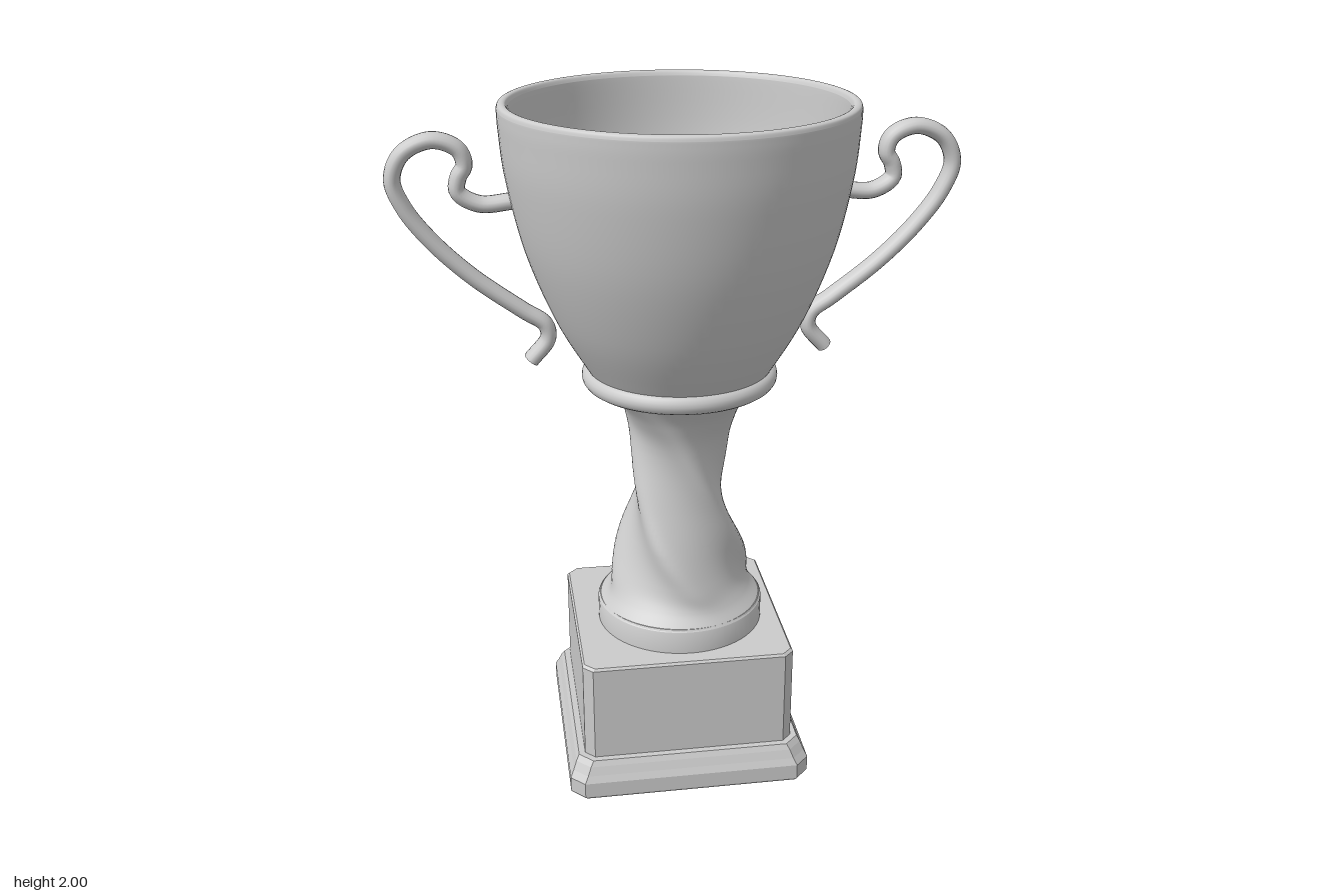
import * as THREE from 'three';
import { mergeVertices, toCreasedNormals } from 'three/addons/utils/BufferGeometryUtils.js';

const material = new THREE.MeshStandardMaterial({ color: 0xcccccc, side: THREE.DoubleSide });

function addMesh(parent, name, geometry) {
  const mesh = new THREE.Mesh(geometry, material);
  mesh.name = name;
  parent.add(mesh);
  return mesh;
}

// Square block with chamfered corners, stacked from [half width, height] levels
function chamferedBlock(levels, chamfer) {
  const pos = [];
  const ring = ([h, y]) => {
    const c = h - chamfer;
    return [[h, c], [h, -c], [c, -h], [-c, -h], [-h, -c], [-h, c], [-c, h], [c, h]]
      .map(([x, z]) => [x, y, z]);
  };
  const rings = levels.map(ring);
  const last = rings.length - 1;
  for (let i = 0; i < 8; i++) {
    const j = (i + 1) % 8;
    for (let k = 0; k < last; k++) {
      const [a, b, c, d] = [rings[k][i], rings[k][j], rings[k + 1][j], rings[k + 1][i]];
      pos.push(...a, ...b, ...c, ...a, ...c, ...d);
    }
    pos.push(0, levels[0][1], 0, ...rings[0][j], ...rings[0][i]);
    pos.push(0, levels[last][1], 0, ...rings[last][i], ...rings[last][j]);
  }
  const geometry = new THREE.BufferGeometry();
  geometry.setAttribute('position', new THREE.Float32BufferAttribute(pos, 3));
  geometry.computeVertexNormals();
  return geometry;
}

// Twisted stem: rounded-square section that turns with height and fades to round at the ends
function twistedStem() {
  // x = ridge radius, y = height, z = squareness
  const profile = new THREE.CatmullRomCurve3([
    [0.25, 0.49, 0], [0.222, 0.53, 0.25], [0.208, 0.6, 0.75], [0.19, 0.7, 1], [0.163, 0.81, 1],
    [0.151, 0.9, 1], [0.146, 1.0, 0.85], [0.167, 1.1, 0.45], [0.21, 1.18, 0.08], [0.235, 1.22, 0],
  ].map(p => new THREE.Vector3(...p)), false, 'centripetal');
  const sides = 96, rows = 72, n = 6;
  const geometry = new THREE.CylinderGeometry(1, 1, 1, sides, rows, true);
  const pos = geometry.attributes.position;
  for (let i = 0; i < pos.count; i++) {
    const p = profile.getPoint(THREE.MathUtils.clamp(pos.getY(i) + 0.5, 0, 1));
    const angle = Math.atan2(pos.getX(i), pos.getZ(i));
    const local = angle - (1.0 - p.y) * Math.PI / 0.8 + Math.PI / 4;
    const square = (Math.abs(Math.cos(local)) ** n + Math.abs(Math.sin(local)) ** n) ** (-1 / n);
    const r = p.x * (1 - p.z * (1 - square / 2 ** (0.5 - 1 / n)));
    pos.setXYZ(i, r * Math.sin(angle), p.y, r * Math.cos(angle));
  }
  geometry.deleteAttribute('uv');
  geometry.deleteAttribute('normal');
  const smooth = mergeVertices(geometry, 1e-5);
  smooth.computeVertexNormals();
  return smooth;
}

// Bowl: outer wall, rounded rim, inner wall and floor in one lathe
function bowl() {
  const spline = (points) => new THREE.SplineCurve(points.map(p => new THREE.Vector2(...p))).getPoints(32);
  const outer = spline([[0.235, 1.2], [0.27, 1.25], [0.355, 1.4], [0.432, 1.6], [0.476, 1.8], [0.489, 1.93], [0.491, 1.98]]);
  const rim = spline([[0.491, 1.985], [0.487, 1.996], [0.477, 2.0], [0.467, 1.997], [0.461, 1.985]]);
  const inner = spline([[0.46, 1.97], [0.447, 1.8], [0.402, 1.6], [0.325, 1.4], [0.265, 1.31], [0.2, 1.275], [0.1, 1.27], [0, 1.27]]);
  return new THREE.LatheGeometry([...outer, ...rim, ...inner], 96);
}

// Handle: scrolled tube with an oval section and a flat end at the tail
function handle() {
  const group = new THREE.Group();
  const path = new THREE.CatmullRomCurve3([
    [0.455, 1.738], [0.548, 1.733], [0.604, 1.768], [0.6, 1.807], [0.582, 1.84], [0.597, 1.883],
    [0.664, 1.909], [0.743, 1.876], [0.775, 1.807], [0.749, 1.728], [0.68, 1.632], [0.574, 1.527],
    [0.442, 1.426], [0.382, 1.382], [0.376, 1.341], [0.426, 1.278],
  ].map(([x, y]) => new THREE.Vector3(x, y, 0)), false, 'centripetal');
  const radius = 0.023, widen = 1.45;
  addMesh(group, 'handleScroll', new THREE.TubeGeometry(path, 120, radius, 16).scale(1, 1, widen));
  const cap = new THREE.CircleGeometry(radius, 16);
  const turn = new THREE.Quaternion().setFromUnitVectors(new THREE.Vector3(0, 0, 1), path.getTangent(1));
  const end = path.getPoint(1);
  cap.applyQuaternion(turn).translate(end.x, end.y, end.z).scale(1, 1, widen);
  addMesh(group, 'handleTailEnd', cap);
  return group;
}

export function createModel() {
  const model = new THREE.Group();
  model.name = 'trophyCup';

  // Square base
  const base = new THREE.Group();
  base.name = 'base';
  base.position.set(-0.013, 0, -0.013);
  model.add(base);
  addMesh(base, 'plinth', chamferedBlock(
    [[0.357, 0], [0.362, 0.008], [0.362, 0.055], [0.352, 0.075], [0.342, 0.1], [0.333, 0.116]], 0.04));
  addMesh(base, 'baseBlock', chamferedBlock([[0.314, 0.1], [0.314, 0.413], [0.308, 0.42]], 0.028));

  // Round foot and twisted stem
  const foot = new THREE.LatheGeometry(
    [[0, 0.41], [0.251, 0.41], [0.251, 0.487], [0.245, 0.497], [0.2, 0.5]].map(p => new THREE.Vector2(...p)), 64);
  addMesh(model, 'stemFoot', toCreasedNormals(foot, 0.8));
  addMesh(model, 'twistedStem', twistedStem());

  // Collar ring and bowl
  addMesh(model, 'collar', new THREE.TorusGeometry(0.254, 0.029, 16, 96).rotateX(Math.PI / 2).translate(0, 1.217, 0));
  addMesh(model, 'collarUnderside', new THREE.CylinderGeometry(0.25, 0.25, 0.03, 64).translate(0, 1.217, 0));
  addMesh(model, 'bowl', bowl());

  // Pair of handles, the second turned half way round
  for (const [name, angle] of [['leftHandle', 0], ['rightHandle', Math.PI]]) {
    const side = handle();
    side.name = name;
    side.rotation.y = angle;
    model.add(side);
  }
  return model;
}
